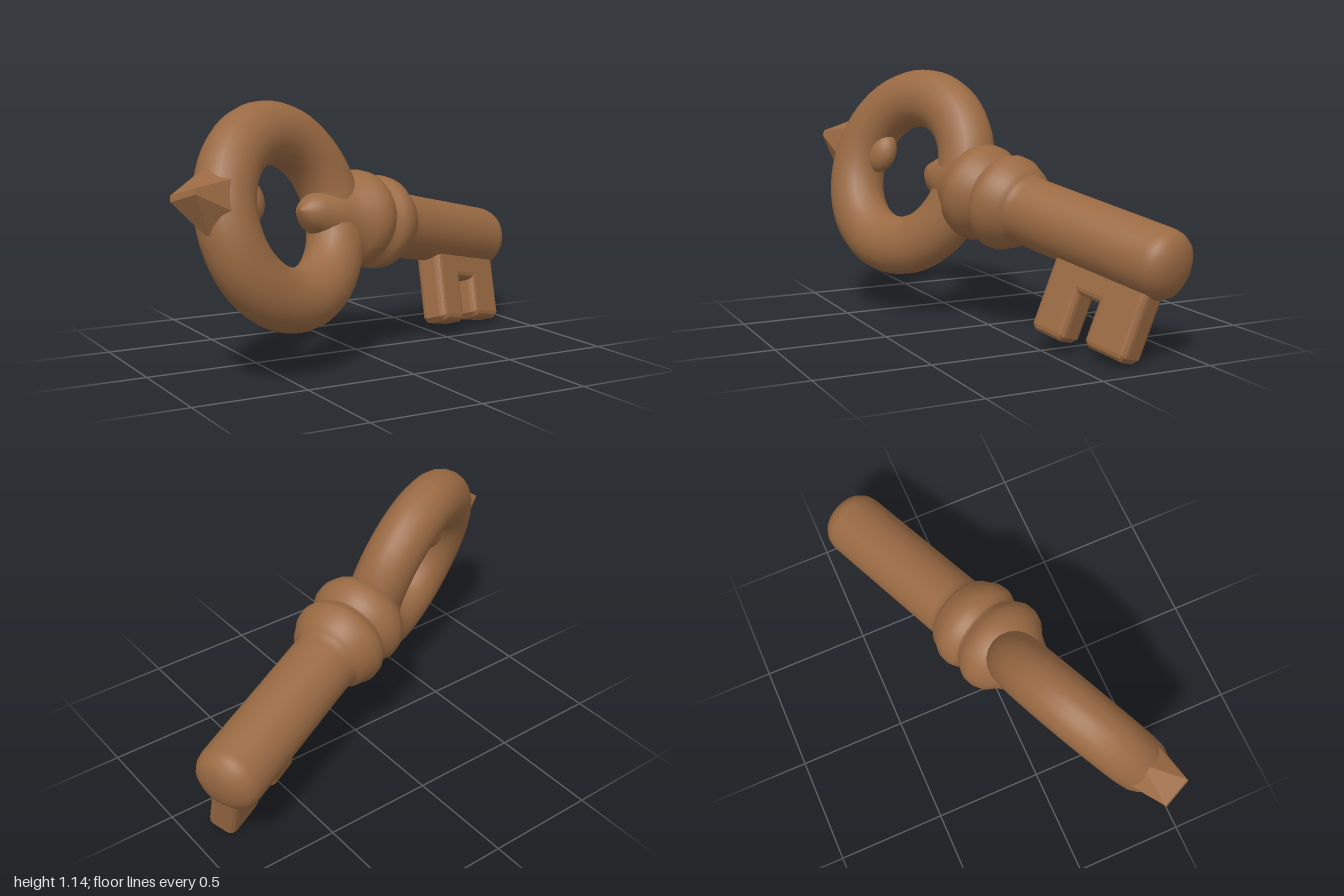
import * as THREE from 'three';
import { ConvexGeometry } from 'three/addons/geometries/ConvexGeometry.js';

export function createModel() {
  const model = new THREE.Group();
  const bronze = new THREE.MeshStandardMaterial({ color: 0x9a6a43 });
  bronze.name = 'bronze';

  // The key is built lying along local x in the local xy plane, then tilted as a whole.
  const key = new THREE.Group();
  key.name = 'key';
  const along = new THREE.Vector3(0.917, -0.2, -0.357).normalize();
  const normal = along.clone().cross(new THREE.Vector3(0.07, 0.941, -0.329)).normalize();
  const up = normal.clone().cross(along);
  key.quaternion.setFromRotationMatrix(new THREE.Matrix4().makeBasis(along, up, normal));
  key.position.set(-0.455, 0.698, 0.185);
  model.add(key);

  const add = (name, geometry) => {
    const mesh = new THREE.Mesh(geometry, bronze);
    mesh.name = name;
    key.add(mesh);
    return mesh;
  };

  // Round handle, slightly shorter along the key than across it, and a little flattened
  const ring = add('bowRing', new THREE.TorusGeometry(0.357, 0.137, 20, 56));
  ring.scale.set(0.955, 1, 0.92);
  ring.position.set(0.003, -0.035, -0.005);

  // Chisel-tipped spike on the far side of the handle, ridged front and back
  const spike = [[-0.32, 0.1, 0], [-0.32, -0.14, 0], [-0.42, 0.13, 0], [-0.435, -0.18, 0]];
  for (const side of [-1, 1]) {
    spike.push([-0.57, 0, 0.07 * side], [-0.57, -0.025, 0.07 * side]);
    spike.push([-0.4, 0.05, 0.1 * side], [-0.4, -0.08, 0.1 * side]);
  }
  add('bowSpike', new ConvexGeometry(spike.map((p) => new THREE.Vector3(...p))));

  // Soft bump poking into the hole opposite the neck
  const nub = add('bowNub', new THREE.SphereGeometry(1, 20, 14));
  nub.scale.set(0.085, 0.1, 0.06);
  nub.position.set(-0.215, 0, 0);

  // Neck, two collars and shaft turned as one profile: [distance, radius]
  const profile = [
    [0.115, 0], [0.135, 0.045], [0.19, 0.085], [0.31, 0.13], [0.37, 0.165], [0.41, 0.202],
    [0.45, 0.218], [0.49, 0.218], [0.53, 0.2], [0.55, 0.18], [0.565, 0.18],
    [0.585, 0.203], [0.615, 0.214], [0.655, 0.211], [0.685, 0.195], [0.715, 0.183],
    [0.735, 0.167], [0.745, 0.152], [0.78, 0.151], [1.15, 0.151], [1.465, 0.151], [1.5, 0.145],
    [1.53, 0.127], [1.552, 0.09], [1.563, 0.045], [1.565, 0],
  ];
  const shaft = new THREE.LatheGeometry(profile.map(([s, r]) => new THREE.Vector2(r, s)), 40);
  add('shaftAndCollars', shaft.rotateZ(-Math.PI / 2));

  // Two-toothed bit below the end of the shaft, with softened lower corners
  const outline = [
    [1.012, 0], [1.012, -0.43], [1.035, -0.452], [1.165, -0.452], [1.188, -0.43],
    [1.188, -0.24], [1.285, -0.24],
    [1.285, -0.4], [1.308, -0.424], [1.475, -0.424], [1.497, -0.4], [1.497, 0],
  ];
  const bevel = 0.03;
  const thickness = 0.135;
  const bit = new THREE.ExtrudeGeometry(
    new THREE.Shape(outline.map(([x, y]) => new THREE.Vector2(x, y))),
    {
      depth: thickness - 2 * bevel, bevelEnabled: true, bevelThickness: bevel,
      bevelSize: bevel, bevelOffset: -bevel, bevelSegments: 3,
    },
  );
  add('bit', bit.translate(0, 0, bevel - thickness / 2 + 0.005));

  return model;
}
